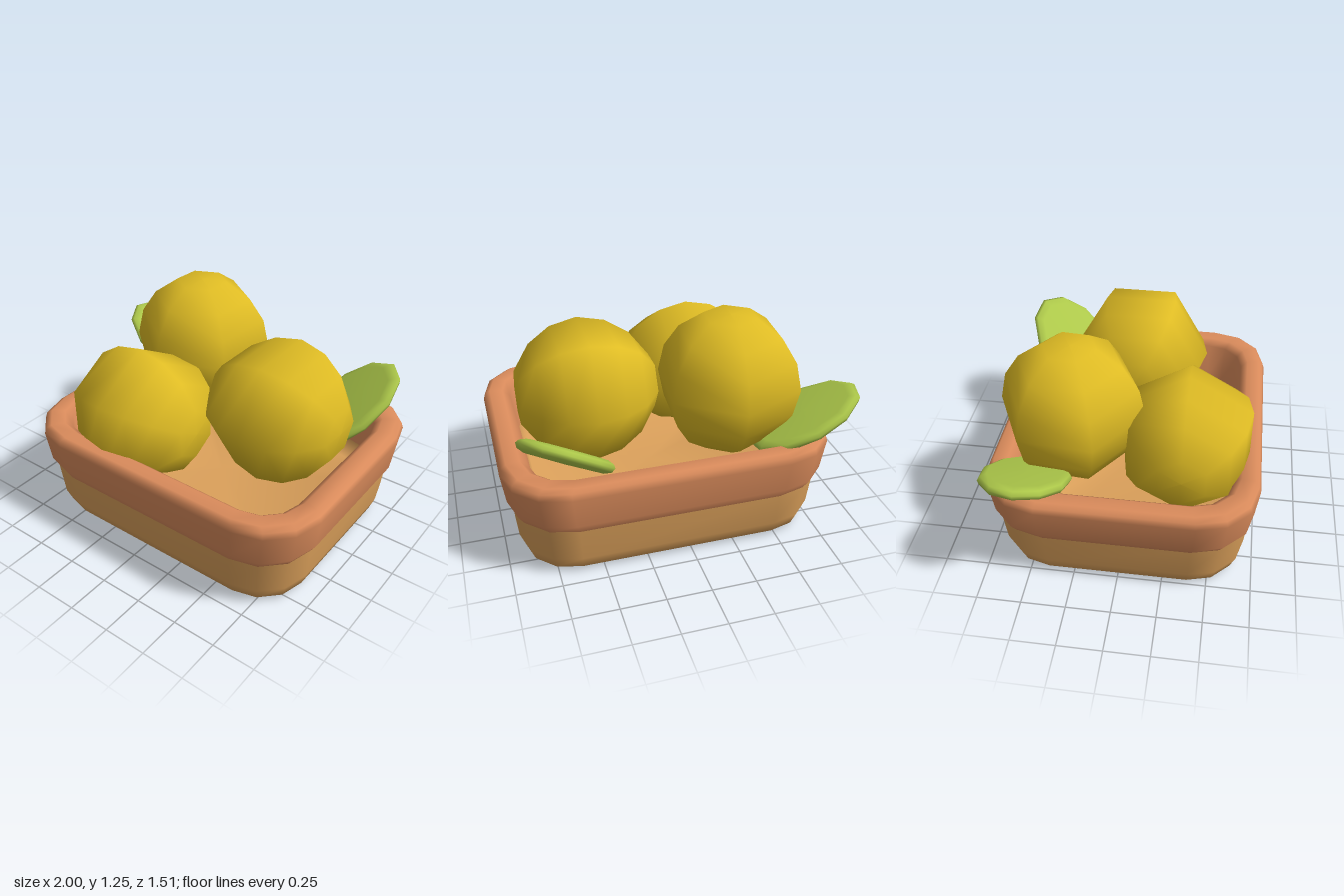
import * as THREE from 'three';

const mat = (name, color, side = THREE.FrontSide) => {
  const m = new THREE.MeshStandardMaterial({ color, side });
  m.name = name;
  return m;
};

// Surface through stacked rounded rectangles [halfX, halfZ, y, cornerRadius]
function loft(rings) {
  const pos = [], idx = [], steps = 3, n = 4 * (steps + 1);
  for (const [hx, hz, y, r] of rings) {
    for (let k = 0; k < 4; k++) {
      const sx = k === 0 || k === 3 ? 1 : -1, sz = k < 2 ? 1 : -1;
      for (let s = 0; s <= steps; s++) {
        const t = (k + s / steps) * Math.PI / 2;
        pos.push(sx * (hx - r) + r * Math.cos(t), y, sz * (hz - r) + r * Math.sin(t));
      }
    }
  }
  for (let i = 0; i < rings.length - 1; i++) {
    for (let j = 0; j < n; j++) {
      const a = i * n + j, b = i * n + (j + 1) % n;
      idx.push(a, a + n, b, b, a + n, b + n);
    }
  }
  const g = new THREE.BufferGeometry();
  g.setAttribute('position', new THREE.Float32BufferAttribute(pos, 3));
  g.setIndex(idx);
  g.computeVertexNormals();
  return g;
}

const lathe = (points, sides) =>
  new THREE.LatheGeometry(points.map(([x, y]) => new THREE.Vector2(x, y)), sides);

export function createModel() {
  const group = new THREE.Group();
  const clay = mat('clay orange', 0xdb8c5c);
  const tan = mat('tan', 0xdca15b);
  const yellow = mat('fruit yellow', 0xdfbc24);
  const green = mat('leaf green', 0xadc84a);

  const add = (parent, name, geometry, material) => {
    const mesh = new THREE.Mesh(geometry, material);
    mesh.name = name;
    parent.add(mesh);
    return mesh;
  };

  // Crate: tan body, tan inside and a thick rounded rim
  const crate = new THREE.Group();
  crate.name = 'crate';
  crate.position.x = 0.075;
  group.add(crate);
  add(crate, 'crateBody', loft([
    [0, 0, 0, 0], [0.74, 0.58, 0, 0.22], [0.82, 0.66, 0.03, 0.27],
    [0.85, 0.695, 0.11, 0.3], [0.87, 0.715, 0.31, 0.31],
  ]), tan);
  add(crate, 'crateRim', loft([
    [0.87, 0.715, 0.31, 0.31], [0.9, 0.737, 0.36, 0.32], [0.925, 0.757, 0.54, 0.33],
    [0.915, 0.745, 0.575, 0.32], [0.885, 0.725, 0.595, 0.31], [0.81, 0.65, 0.595, 0.25],
    [0.77, 0.61, 0.56, 0.22], [0.73, 0.58, 0.33, 0.19],
  ]), clay);
  add(crate, 'crateInside', loft([
    [0.73, 0.58, 0.33, 0.19], [0.7, 0.56, 0.2, 0.18], [0, 0, 0.2, 0],
  ]), tan);

  // Fruits: six-sided rounded bodies with small flat ends
  const fruitProfile = [[0, 0.395], [0.15, 0.388], [0.29, 0.29], [0.375, 0.16], [0.41, 0]];
  const profile = [...fruitProfile.slice(0, 4).map(([r, y]) => [r, -y]), ...[...fruitProfile].reverse()];
  const fruit = (name, x, y, z, spin, tilt) => {
    const g = lathe(profile, 6);
    g.rotateY(spin);
    g.rotateZ(tilt);
    add(group, name, g, yellow).position.set(x, y, z);
  };
  fruit('rightFruit', 0.445, 0.765, -0.02, 0, -Math.PI / 2);
  fruit('frontFruit', -0.255, 0.665, 0.33, Math.PI / 6, -Math.PI / 2);
  fruit('backFruit', -0.305, 0.855, -0.305, -0.08, 0);

  // Leaves: thick oval plates leaning over the back corners
  const leaf = (name, centre, axis, normal, length, width) => {
    const g = lathe([[0, -1], [0.8, -0.9], [0.95, -0.5], [1, 0.1], [0.95, 0.6], [0.82, 0.95], [0, 1]], 11);
    g.scale(length, 0.04, width);
    const X = new THREE.Vector3(...axis).normalize();
    const Z = X.clone().cross(new THREE.Vector3(...normal)).normalize();
    const Y = Z.clone().cross(X);
    g.applyMatrix4(new THREE.Matrix4().makeBasis(X, Y, Z));
    add(group, name, g, green).position.set(...centre);
  };
  leaf('leftLeaf', [-0.7, 0.66, -0.49], [-0.88, 0.43, -0.05], [0.43, 0.9, 0.05], 0.34, 0.24);
  leaf('rightLeaf', [0.645, 0.63, -0.485], [0.5, 0.62, -0.6], [-0.4, 0.78, 0.48], 0.36, 0.25);

  return group;
}
